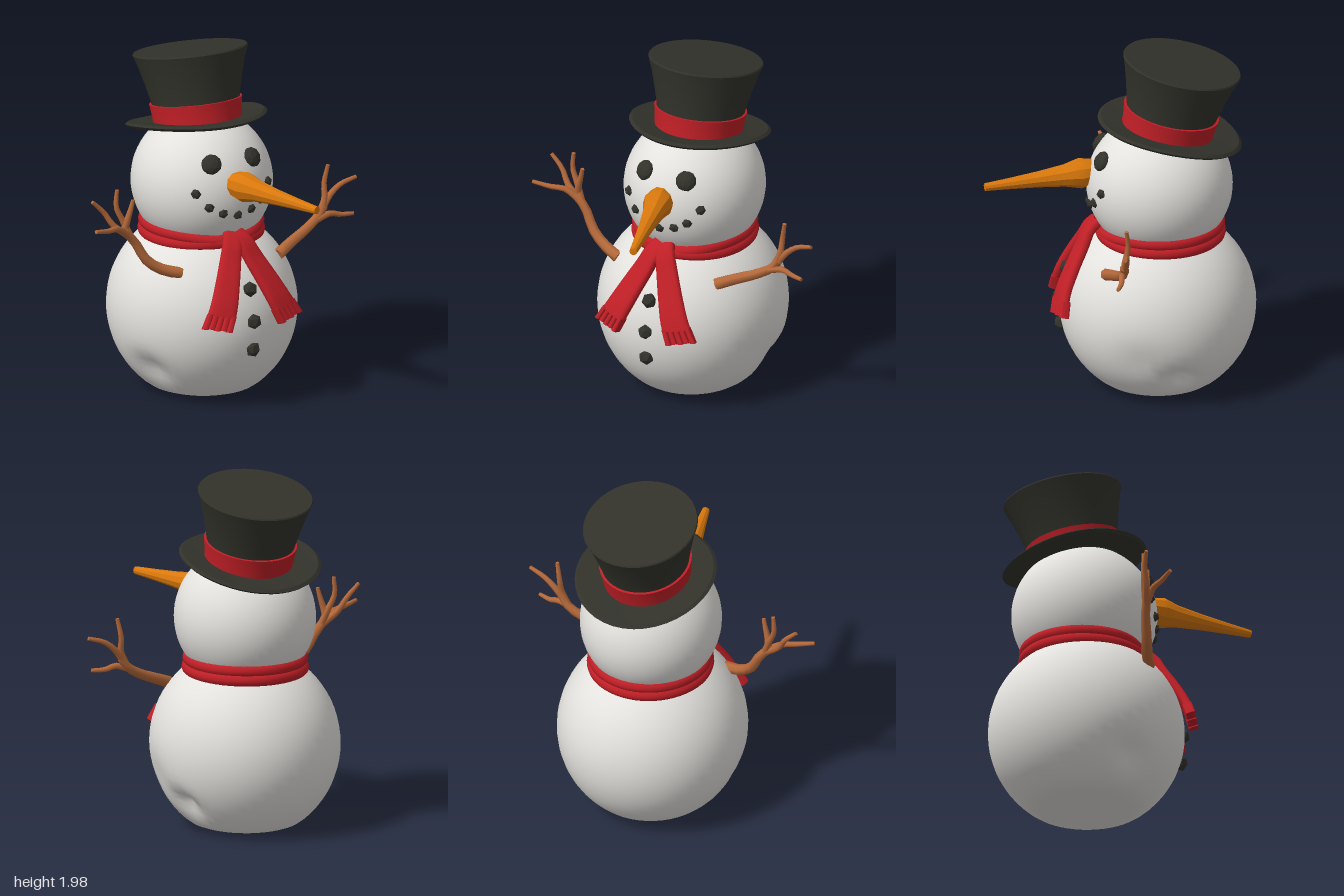
import * as THREE from 'three';
import { mergeVertices, toCreasedNormals } from 'three/addons/utils/BufferGeometryUtils.js';

const mat = (name, color) => Object.assign(new THREE.MeshStandardMaterial({ color }), { name });
const V = (p) => new THREE.Vector3(...p);

// Skin a list of rings (each a loop of Vector3) and close both ends
function loft(rings) {
  const m = rings[0].length, pos = [], idx = [];
  const push = (v) => pos.push(v.x, v.y, v.z);
  rings.forEach((r) => r.forEach(push));
  for (let i = 0; i < rings.length - 1; i++) for (let j = 0; j < m; j++) {
    const a = i * m + j, b = i * m + (j + 1) % m;
    idx.push(a, b, a + m, b, b + m, a + m);
  }
  [rings[0], rings[rings.length - 1]].forEach((ring, end) => {
    const base = pos.length / 3, c = new THREE.Vector3();
    ring.forEach((v) => { push(v); c.addScaledVector(v, 1 / m); });
    push(c);
    for (let j = 0; j < m; j++) {
      const k = (j + 1) % m;
      idx.push(base + m, base + (end ? j : k), base + (end ? k : j));
    }
  });
  const g = new THREE.BufferGeometry();
  g.setAttribute('position', new THREE.Float32BufferAttribute(pos, 3));
  g.setIndex(idx);
  g.computeVertexNormals();
  return g;
}

// Tapered stick along a curve
function stick(points, r0, r1, seg = 8, sides = 7) {
  const curve = new THREE.CatmullRomCurve3(points.map(V));
  const f = curve.computeFrenetFrames(seg);
  const rings = [];
  for (let i = 0; i <= seg; i++) {
    const c = curve.getPointAt(i / seg), r = r0 + (r1 - r0) * i / seg, ring = [];
    for (let j = 0; j < sides; j++) {
      const a = j / sides * Math.PI * 2;
      ring.push(c.clone().addScaledVector(f.normals[i], r * Math.cos(a)).addScaledVector(f.binormals[i], r * Math.sin(a)));
    }
    rings.push(ring);
  }
  return loft(rings);
}

// Snow ball with dents, given as [x, y, z, radius, depth]
function snowBall(rx, ry, rz, center, dents = [], floor = -1) {
  let g = new THREE.SphereGeometry(1, 48, 36);
  g.deleteAttribute('uv');
  g.deleteAttribute('normal');
  g = mergeVertices(g.scale(rx, ry, rz).translate(...center), 1e-4);
  const p = g.attributes.position, v = new THREE.Vector3(), c = V(center);
  for (let i = 0; i < p.count; i++) {
    v.fromBufferAttribute(p, i);
    const dir = v.clone().sub(c).normalize();
    for (const [x, y, z, r, d] of dents) {
      v.addScaledVector(dir, -d * Math.exp(-v.distanceToSquared(V([x, y, z])) / (r * r)));
    }
    if (v.y < floor + 0.05) v.y = floor + 0.05 * Math.exp((v.y - floor - 0.05) / 0.05);
    p.setXYZ(i, v.x, v.y, v.z);
  }
  g.computeVertexNormals();
  return g;
}

const lathe = (pts, sides = 40) =>
  toCreasedNormals(new THREE.LatheGeometry(pts.map((p) => new THREE.Vector2(...p)), sides), 0.6);

export function createModel() {
  const model = new THREE.Group();
  model.name = 'snowman';
  const snow = mat('snow', 0xe4e2de), coal = mat('coal black', 0x32322b), red = mat('scarf red', 0xc01f26);
  const orange = mat('carrot orange', 0xd9780c), bark = mat('bark brown', 0xb5693a);
  const add = (name, geo, material, parent = model) => {
    const m = new THREE.Mesh(geo, material);
    m.name = name;
    parent.add(m);
    return m;
  };
  const group = (name) => {
    const g = new THREE.Group();
    g.name = name;
    model.add(g);
    return g;
  };

  // Body and head
  const bodyC = [-0.005, 0.48, -0.215], headC = [0, 1.2, -0.225];
  add('body', snowBall(0.525, 0.54, 0.545, bodyC, [
    [0.42, 0.19, -0.33, 0.08, 0.06], [0.46, 0.33, -0.12, 0.12, 0.02],
    [-0.42, 0.2, -0.05, 0.1, 0.045], [-0.03, 0, -0.21, 0.1, 0.02],
  ], 0.005), snow);
  add('head', snowBall(0.39, 0.395, 0.405, headC), snow);

  // Coal lumps pressed into the snow, facing outward
  const lump = (name, x, y, r, c, radius, flat) => {
    const z = c[2] + Math.sqrt(Math.max(0, radius * radius - (x - c[0]) ** 2 - (y - c[1]) ** 2));
    const g = new THREE.IcosahedronGeometry(r, r > 0.05 ? 1 : 0);
    g.computeVertexNormals();
    const m = add(name, g.rotateZ(x * 9 + y * 5), coal);
    m.scale.z = flat;
    m.position.set(x, y, z);
    m.lookAt(2 * x - c[0], 2 * y - c[1], 2 * z - c[2]);
  };
  for (const s of [-1, 1]) lump(s > 0 ? 'leftEye' : 'rightEye', s * 0.13, 1.395, 0.058, headC, 0.4, 0.6);
  [[-0.23, 1.24], [-0.165, 1.16], [-0.088, 1.12], [0, 1.1], [0.088, 1.12], [0.16, 1.157], [0.225, 1.24]]
    .forEach(([x, y]) => lump('mouthCoal', x, y, 0.03, headC, 0.4, 0.9));
  [0.7, 0.525, 0.36].forEach((y) => lump('button', 0.005, y, 0.044, bodyC, 0.55, 0.9));

  // Carrot nose, swung to the model's left
  const nose = add('carrotNose', lathe([[0, 0], [0.065, 0], [0.075, 0.07], [0.085, 0.12], [0.062, 0.21],
    [0.045, 0.36], [0.032, 0.52], [0.022, 0.67], [0, 0.672]], 10), orange);
  nose.position.set(-0.015, 1.275, 0.1);
  nose.quaternion.setFromUnitVectors(new THREE.Vector3(0, 1, 0), V([0.178, -0.012, 0.64]).normalize());

  // Top hat, tipped backward
  const hat = group('topHat');
  hat.position.set(0, 1.515, -0.28);
  hat.rotation.x = -0.21;
  const brimGeo = lathe([[0.2, -0.012], [0.3, -0.012], [0.375, -0.01], [0.392, 0.004], [0.375, 0.018], [0.3, 0.014], [0.2, 0.014]]);
  const bp = brimGeo.attributes.position;
  for (let i = 0; i < bp.count; i++) bp.setY(i, bp.getY(i) + 0.2 * bp.getX(i) ** 2);
  add('brim', toCreasedNormals(brimGeo, 0.6), coal, hat).scale.z = 1.04;
  const crown = add('crown', lathe([[0.228, -0.02], [0.236, 0.07], [0.245, 0.14], [0.268, 0.24], [0.295, 0.34],
    [0.317, 0.405], [0.312, 0.413], [0, 0.416]]), coal, hat);
  const band = add('hatBand', lathe([[0.225, 0.0], [0.243, 0.0], [0.247, 0.06], [0.256, 0.125], [0.235, 0.127]]), red, hat);
  for (const m of [crown, band]) {
    m.position.z = 0.015;
    m.scale.z = 1.05;
  }

  // Scarf wrapped twice around the neck, dipping toward the knot
  const scarf = group('scarf');
  [[0.308, 0.968, 0.025], [0.312, 0.915, -0.005]].forEach(([r, y, dip]) => {
    const g = new THREE.TorusGeometry(r, 0.038, 12, 56).rotateX(Math.PI / 2);
    const p = g.attributes.position;
    for (let i = 0; i < p.count; i++) p.setY(i, p.getY(i) - dip * Math.max(0, p.getZ(i) / r) ** 4);
    const wrap = add('scarfWrap', g, red, scarf);
    wrap.position.set(0, y, -0.23);
    wrap.scale.z = 1.035;
  });

  // Hanging tails with fringed ends
  for (const s of [-1, 1]) {
    const path = new THREE.CatmullRomCurve3([[0.015, 0.975, 0.12], [0.035, 0.945, 0.165], [0.07, 0.86, 0.205],
      [0.125, 0.74, 0.265], [0.18, 0.62, 0.315], [0.235, 0.51, 0.335]].map(([x, y, z]) => V([s * x, y, z])));
    const W = V([1, s * 0.2, -s * 0.35]).normalize();
    const strip = (u0, u1, n, off, part) => {
      const rings = [];
      for (let i = 0; i <= n; i++) {
        const u = u0 + (u1 - u0) * i / n, w = 0.05 + 0.037 * u;
        const N = path.getTangentAt(u).cross(W).normalize(), c = path.getPointAt(u).addScaledVector(W, off * w);
        rings.push(Array.from({ length: 14 }, (_, j) => {
          const a = j / 14 * Math.PI * 2, sq = (t) => Math.sign(t) * Math.abs(t) ** 0.6;
          return c.clone().addScaledVector(W, w * part * sq(Math.cos(a))).addScaledVector(N, 0.028 * sq(Math.sin(a)));
        }));
      }
      return loft(rings);
    };
    add(s > 0 ? 'leftScarfTail' : 'rightScarfTail', strip(0, 0.86, 12, 0, 1), red, scarf);
    for (let k = -2; k <= 2; k++) add('scarfFringe', strip(0.84, 1 - 0.008 * (k & 1), 2, k * 0.4, 0.192), red, scarf);
  }

  // Stick arms with twig fingers
  const arm = (name, trunk, twigs) => {
    const g = group(name);
    add('branch', stick(trunk, 0.034, 0.024), bark, g);
    twigs.forEach((t) => add('twig', stick(t, 0.022, 0.011), bark, g));
  };
  arm('rightArm', [[-0.31, 0.785, 0.075], [-0.42, 0.82, 0.04], [-0.5, 0.88, 0.02], [-0.57, 1.0, 0], [-0.63, 1.06, 0]], [
    [[-0.6, 1.03, 0], [-0.68, 1.09, 0.02], [-0.76, 1.1, 0.05], [-0.86, 1.12, 0.08]],
    [[-0.6, 1.03, 0], [-0.69, 1.1, -0.02], [-0.74, 1.18, -0.04], [-0.81, 1.25, -0.045]],
    [[-0.59, 1.02, 0], [-0.63, 1.12, -0.02], [-0.665, 1.2, -0.03], [-0.66, 1.3, -0.03]],
    [[-0.62, 1.08, -0.01], [-0.61, 1.13, 0], [-0.595, 1.18, 0.005], [-0.58, 1.24, 0.01]],
  ]);
  arm('leftArm', [[0.31, 0.79, 0.08], [0.42, 0.835, 0.04], [0.53, 0.88, 0.01], [0.62, 0.935, -0.01], [0.66, 0.99, -0.01]], [
    [[0.63, 0.95, -0.01], [0.665, 1.03, -0.015], [0.67, 1.11, -0.03], [0.69, 1.22, -0.02]],
    [[0.64, 0.96, -0.01], [0.7, 1.04, -0.02], [0.77, 1.095, -0.02], [0.865, 1.125, -0.01]],
    [[0.6, 0.92, 0], [0.69, 0.945, 0.005], [0.75, 0.93, 0.01], [0.825, 0.93, 0.03]],
  ]);
  return model;
}
